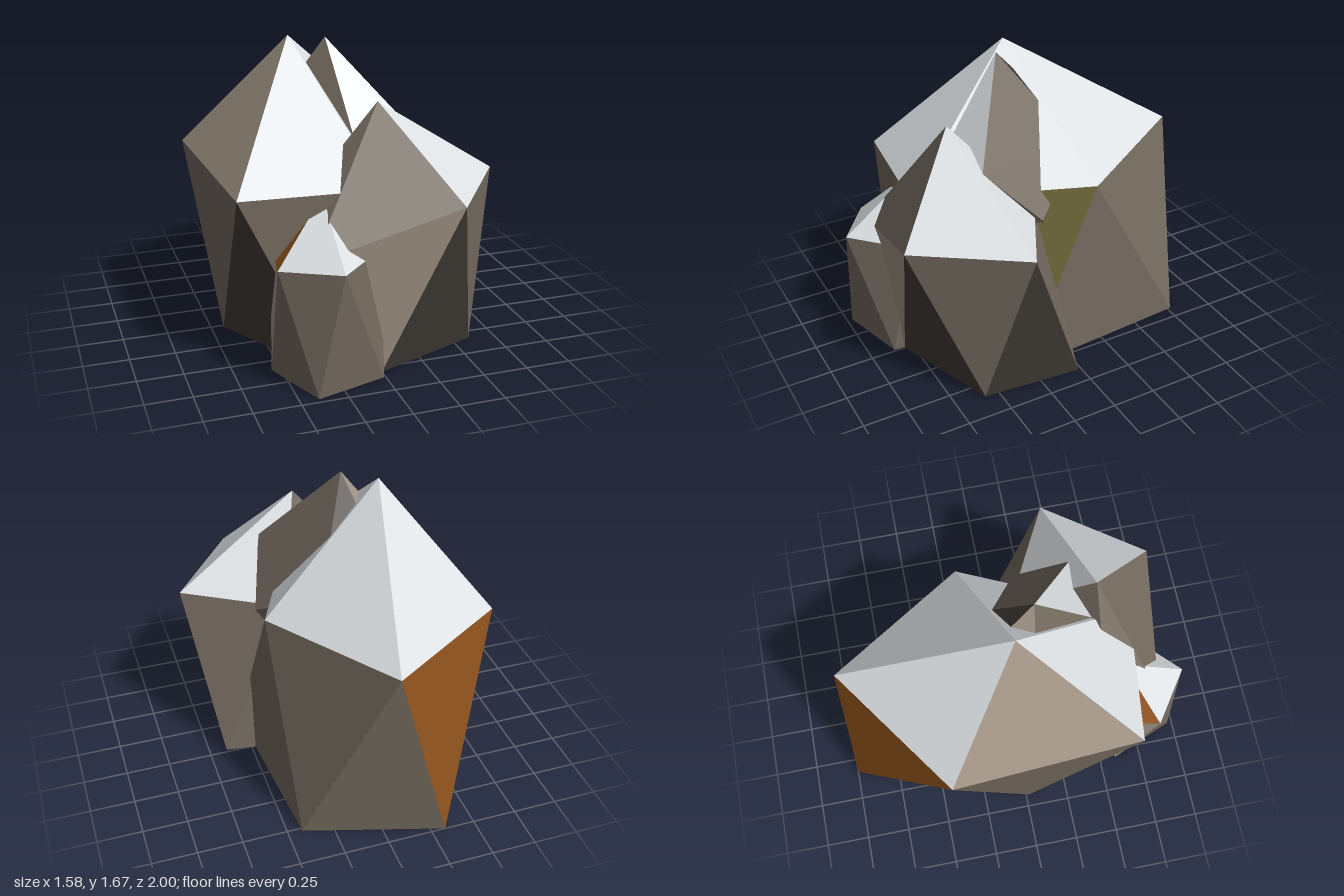
import * as THREE from 'three';

const PALETTE = {
  paleStone: 0xdce0e3, lightBrownStone: 0xa09384, brownStone: 0x746a5f,
  darkStone: 0x423c35, rustStone: 0x8f521c, mossStone: 0x6a6434,
};
const KEYS = Object.keys(PALETTE);

// A rock: a peak, an upper ring of five points, a lower ring of five points and a flat base.
// Rings run front, right, back, left. Caps are pale, sides brown, the base dark, unless listed in tints.
function makeRock(name, materials, { peak, upper, lower, tints }) {
  const groups = KEYS.map(() => []);
  const add = (face, fallback, ...points) => {
    const key = tints[face] ?? fallback;
    groups[KEYS.indexOf(key)].push(...points.flat());
  };
  for (let i = 0; i < 5; i++) {
    const j = (i + 1) % 5;
    add('cap' + i, 'paleStone', peak, upper[i], upper[j]);
    add('upper' + i, 'brownStone', upper[i], lower[i], upper[j]);
    add('lower' + i, 'brownStone', upper[j], lower[i], lower[j]);
    if (i > 0 && i < 4) add('base', 'darkStone', lower[0], lower[j], lower[i]);
  }
  const geometry = new THREE.BufferGeometry();
  geometry.setAttribute('position', new THREE.Float32BufferAttribute(groups.flat(), 3));
  let start = 0;
  groups.forEach((values, index) => {
    const count = values.length / 3;
    if (count) geometry.addGroup(start, count, index);
    start += count;
  });
  // Unshared corners give each facet its own flat normal
  geometry.computeVertexNormals();
  const mesh = new THREE.Mesh(geometry, materials);
  mesh.name = name;
  return mesh;
}

const ROCKS = {
  // Tall boulder at the back
  backBoulder: {
    peak: [-0.27, 1.67, 0],
    upper: [[0.03, 0.99, 0.72], [0.44, 1.03, -0.2], [-0.05, 1.05, -0.96], [-0.79, 1.0, -0.44], [-0.72, 0.975, 0.63]],
    lower: [[0.5, 0, 0.29], [0.42, 0, -0.77], [-0.33, 0, -1.0], [-0.68, 0, 0.02], [-0.26, 0, 0.73]],
    tints: {
      cap3: 'lightBrownStone', upper0: 'mossStone', upper2: 'rustStone',
      lower2: 'darkStone', lower3: 'darkStone',
    },
  },
  // Medium boulder at the front right
  frontBoulder: {
    peak: [0.065, 1.4, 0.51],
    upper: [[0.4, 0.92, 0.92], [0.79, 0.93, 0.37], [0.24, 0.9, 0.08], [-0.45, 0.8, 0.5], [-0.39, 0.68, 0.83]],
    lower: [[0.6, 0, 0.58], [0.65, 0, 0.02], [-0.1, 0, -0.1], [-0.4, 0, 0.38], [0, 0, 0.8]],
    tints: {
      cap2: 'brownStone', cap3: 'brownStone', cap4: 'brownStone',
      upper4: 'lightBrownStone', lower0: 'darkStone', lower4: 'darkStone',
    },
  },
  // Small stone at the front left
  smallStone: {
    peak: [-0.27, 0.96, 0.62],
    upper: [[-0.27, 0.67, 1.0], [0.02, 0.67, 0.72], [-0.05, 0.66, 0.4], [-0.46, 0.66, 0.28], [-0.56, 0.65, 0.8]],
    lower: [[-0.01, 0, 0.86], [0, 0, 0.5], [-0.3, 0, 0.35], [-0.55, 0, 0.6], [-0.4, 0, 0.97]],
    tints: { cap3: 'rustStone', upper3: 'lightBrownStone', lower2: 'mossStone' },
  },
  // Leaning splinter wedged between the boulders
  leaningSplinter: {
    peak: [-0.1, 1.675, 0.13],
    upper: [[0.3, 1.2, 0.42], [0.14, 1.13, -0.25], [-0.22, 1.3, -0.215], [-0.34, 1.36, 0.1], [-0.04, 1.12, 0.53]],
    lower: [[0.41, 0.89, 0.12], [0.2, 0.6, 0], [-0.1, 0.6, -0.1], [-0.2, 0.6, 0.2], [0.05, 0.6, 0.45]],
    tints: { cap0: 'brownStone', cap1: 'darkStone', cap2: 'lightBrownStone', cap3: 'brownStone' },
  },
};

export function createModel() {
  const materials = KEYS.map((name) => {
    const material = new THREE.MeshStandardMaterial({ color: PALETTE[name] });
    material.name = name;
    return material;
  });
  const model = new THREE.Group();
  model.name = 'rockCluster';
  for (const [name, spec] of Object.entries(ROCKS)) model.add(makeRock(name, materials, spec));
  return model;
}
